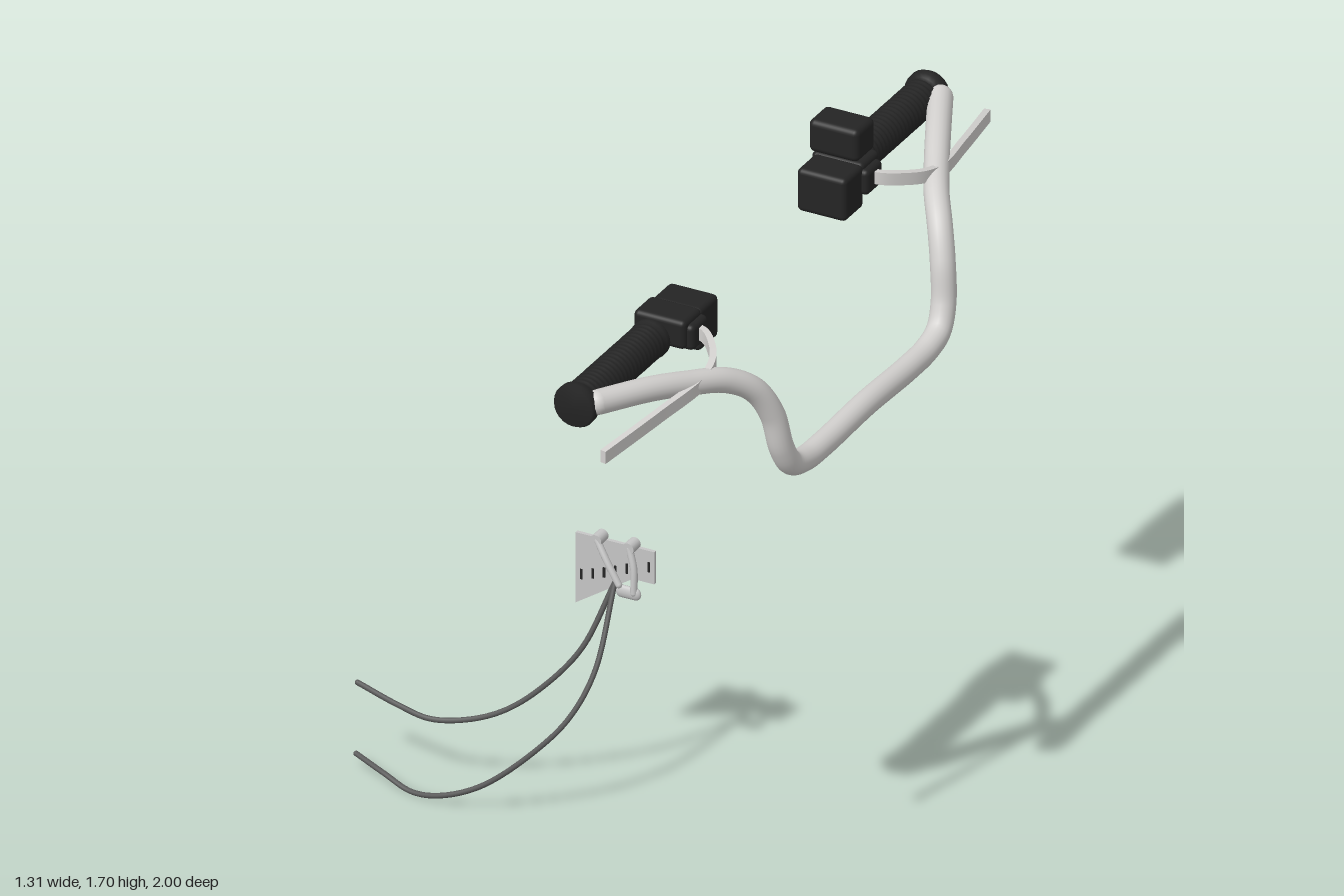
import * as THREE from 'three';
import { RoundedBoxGeometry } from 'three/addons/geometries/RoundedBoxGeometry.js';

const material = (name, color, side = THREE.FrontSide) => {
  const m = new THREE.MeshStandardMaterial({ color, side });
  m.name = name;
  return m;
};

const curveThrough = (pts) => new THREE.CatmullRomCurve3(pts.map((p) => new THREE.Vector3(...p)));

// Flat bar swept along a curve, keeping its height upright
function sweptBar(pts, width, height, steps = 40) {
  const curve = curveThrough(pts);
  const geo = new THREE.BoxGeometry(width, height, 1, 1, 1, steps);
  const pos = geo.attributes.position;
  const up = new THREE.Vector3(0, 1, 0);
  for (let i = 0; i < pos.count; i++) {
    const t = THREE.MathUtils.clamp(pos.getZ(i) + 0.5, 0, 1);
    const p = curve.getPointAt(t);
    const side = up.clone().cross(curve.getTangentAt(t)).normalize();
    p.addScaledVector(side, pos.getX(i)).addScaledVector(up, pos.getY(i));
    pos.setXYZ(i, p.x, p.y, p.z);
  }
  geo.computeVertexNormals();
  return geo;
}

export function createModel() {
  const model = new THREE.Group();
  model.name = 'handlebarAndControls';
  const chrome = material('chrome', 0xd2d0ce);
  const plateMetal = material('plateMetal', 0xc6c6c6);
  const rubber = material('blackRubber', 0x242424);
  const cableMat = material('cableGrey', 0x5a5a5a);

  const add = (name, geo, mat, parent = model) => {
    const mesh = new THREE.Mesh(geo, mat);
    mesh.name = name;
    parent.add(mesh);
    return mesh;
  };
  // Rounded box from its min and max corners
  const block = (name, a, b, mat, parent, r = 0.014) => {
    const geo = new RoundedBoxGeometry(b[0] - a[0], b[1] - a[1], b[2] - a[2], 3, r);
    const mesh = add(name, geo, mat, parent);
    mesh.position.set((a[0] + b[0]) / 2, (a[1] + b[1]) / 2, (a[2] + b[2]) / 2);
    return mesh;
  };
  // Round rod with domed ends
  const rod = (name, pts, r, mat, parent, steps = 60, sides = 12) => {
    add(name, new THREE.TubeGeometry(curveThrough(pts), steps, r, sides), mat, parent);
    for (const p of [pts[0], pts[pts.length - 1]]) {
      add(name + 'End', new THREE.SphereGeometry(r, sides, 8), mat, parent).position.set(...p);
    }
  };

  // Handlebar: half a path, mirrored front to back
  const half = [
    [0.617, 1.205, 0.22], [0.617, 1.21, 0.32], [0.615, 1.232, 0.385], [0.609, 1.29, 0.421],
    [0.595, 1.39, 0.443], [0.566, 1.468, 0.482], [0.523, 1.514, 0.545], [0.467, 1.541, 0.65],
    [0.417, 1.56, 0.75], [0.348, 1.573, 0.89],
  ];
  const barPath = [
    ...half.map(([x, y, z]) => [x, y, -z]).reverse(), [0.617, 1.211, 0], ...half,
  ];
  rod('handlebar', barPath, 0.032, chrome, model, 160, 20);

  // Ribbed grip profile: radius against distance from the middle of the bar
  const profile = [[0, 0.515], [0.048, 0.515], [0.052, 0.52], [0.052, 0.535], [0.046, 0.54]];
  for (let i = 0; i < 20; i++) {
    const z = 0.548 + i * 0.017;
    profile.push([0.050, z], [0.050, z + 0.008], [0.046, z + 0.011]);
  }
  profile.push([0.05, 0.892], [0.058, 0.9], [0.059, 0.918], [0.053, 0.929], [0, 0.93]);

  for (const s of [1, -1]) {
    const controls = new THREE.Group();
    controls.name = s > 0 ? 'frontControls' : 'backControls';
    model.add(controls);

    const gripGeo = new THREE.LatheGeometry(profile.map((p) => new THREE.Vector2(...p)), 24);
    gripGeo.rotateX(s * Math.PI / 2);
    add('grip', gripGeo, rubber, controls).position.set(0.3, 1.564, 0);

    // Switch housing, clamp and lever pivot
    const zBlock = (name, a, b, r) => {
      const z0 = Math.min(s * a[2], s * b[2]);
      const z1 = Math.max(s * a[2], s * b[2]);
      return block(name, [a[0], a[1], z0], [b[0], b[1], z1], rubber, controls, r);
    };
    zBlock('switchHousing', [0.247, 1.498, 0.327], [0.385, 1.617, 0.427]);
    zBlock('switchClamp', [0.24, 1.54, 0.415], [0.385, 1.62, 0.508]);
    zBlock('leverPivot', [0.34, 1.535, 0.412], [0.402, 1.605, 0.494]);
    if (s < 0) zBlock('fluidReservoir', [0.232, 1.618, 0.415], [0.372, 1.708, 0.51], 0.016);

    // Hand lever bends outward, then runs along the grip
    const leverPath = [
      [0.37, 1.575, 0.45], [0.415, 1.572, 0.46], [0.457, 1.563, 0.5], [0.486, 1.552, 0.55],
      [0.496, 1.539, 0.62], [0.465, 1.517, 0.79], [0.421, 1.49, 0.998],
    ].map(([x, y, z]) => [x, y, s * z]);
    add('handLever', sweptBar(leverPath, 0.017, 0.034), chrome, controls);
  }

  // Control plate
  const panel = new THREE.Group();
  panel.name = 'controlPanel';
  model.add(panel);
  const outline = new THREE.Shape([
    [-0.155, 0.685], [-0.155, 0.488], [0.005, 0.595], [0.065, 0.595], [0.065, 0.685],
  ].map((p) => new THREE.Vector2(...p)));
  const plateGeo = new THREE.ExtrudeGeometry(outline, { depth: 0.01, bevelEnabled: false });
  add('plate', plateGeo, plateMetal, panel).position.z = 0.06;

  // Dark slot marks on the plate face
  for (const [x, y] of [
    [-0.139, 0.572], [-0.107, 0.582], [-0.075, 0.593], [-0.043, 0.606], [-0.011, 0.62], [0.05, 0.64],
  ]) {
    add('slotMark', new THREE.BoxGeometry(0.006, 0.028, 0.003), rubber, panel).position.set(x, y, 0.0705);
  }

  // Two small levers with pivot knobs and a shared foot
  const levers = [
    [[-0.083, 0.693, 0.092], [-0.05, 0.645, 0.102], [-0.014, 0.592, 0.108]],
    [[0.007, 0.693, 0.092], [0.024, 0.64, 0.1], [0.027, 0.578, 0.106]],
  ];
  for (const pts of levers) {
    const knob = new THREE.CylinderGeometry(0.016, 0.016, 0.038, 16).rotateX(Math.PI / 2);
    add('pivotKnob', knob, plateMetal, panel).position.set(pts[0][0], pts[0][1], 0.081);
    rod('panelLever', pts, 0.009, plateMetal, panel, 12);
  }
  const foot = new THREE.CapsuleGeometry(0.016, 0.038, 6, 12).rotateZ(Math.PI / 2);
  foot.scale(1, 1.1, 0.6);
  add('leverFoot', foot, plateMetal, panel).position.set(0.01, 0.574, 0.102);

  // Hanging control cables
  rod('upperCable', [
    [-0.025, 0.595, 0.108], [-0.085, 0.425, 0.167], [-0.175, 0.31, 0.203], [-0.265, 0.235, 0.23],
    [-0.355, 0.195, 0.25], [-0.455, 0.18, 0.269], [-0.535, 0.2, 0.278], [-0.648, 0.24, 0.286],
  ], 0.007, cableMat, model, 80, 10);
  rod('lowerCable', [
    [-0.025, 0.595, 0.108], [-0.022, 0.4, 0.217], [-0.06, 0.29, 0.275], [-0.13, 0.2, 0.315],
    [-0.265, 0.08, 0.348], [-0.375, 0.028, 0.358], [-0.465, 0.01, 0.346], [-0.555, 0.027, 0.322],
    [-0.652, 0.04, 0.286],
  ], 0.007, cableMat, model, 80, 10);

  return model;
}
